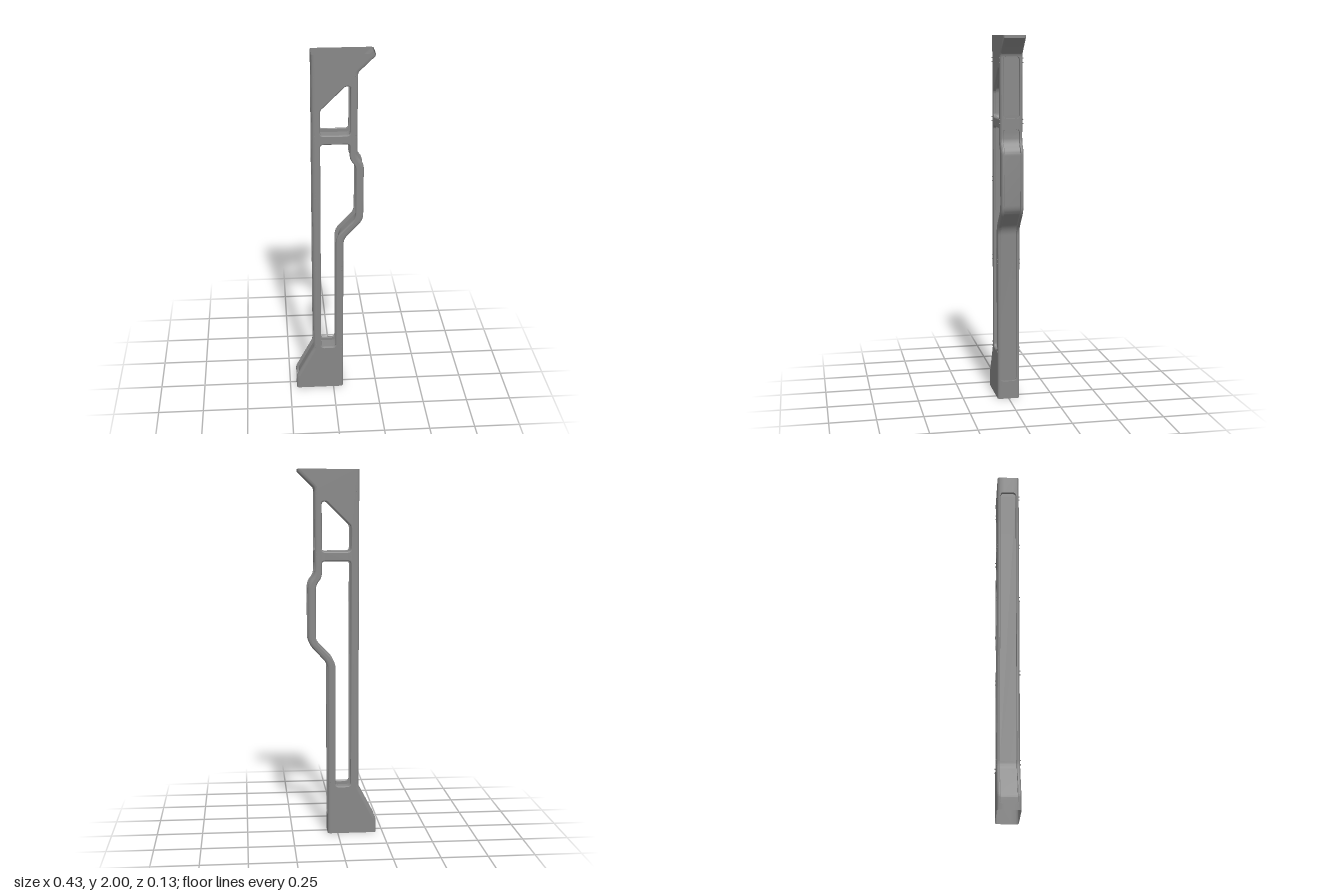
import * as THREE from 'three';
import { toCreasedNormals } from 'three/addons/utils/BufferGeometryUtils.js';

const HALF = 0.061;       // half thickness of the pillar
const FILLET = 0.01;      // depth of the rounded edges
const OUTER_EDGE = 0.017; // width of the rounding on the outer edges
const INNER_EDGE = 0.007; // width of the rounding on the openings
const SLOT = 0.043;       // half width of the recessed channels
const ROUND = 0.018;      // corner radius of the channel ends

const material = new THREE.MeshStandardMaterial({ color: 0x888888, side: THREE.DoubleSide });
const V = (x, y) => new THREE.Vector2(x, y);

// Rounds the corners of a polyline; each corner is [x, y, setback]
function roundPath(corners, closed) {
  const out = [], n = corners.length;
  corners.forEach(([x, y, r = 0], i) => {
    const p = V(x, y);
    if (!r) { out.push(p); return; }
    const [ax, ay] = corners[(i + n - 1) % n], [bx, by] = corners[(i + 1) % n];
    const a = V(ax, ay).sub(p).setLength(r).add(p);
    const b = V(bx, by).sub(p).setLength(r).add(p);
    out.push(...new THREE.QuadraticBezierCurve(a, p, b).getPoints(6));
  });
  return out;
}

// Unit-distance mitre vectors pointing to the left of the path
function mitres(pts, closed) {
  const n = pts.length;
  return pts.map((p, i) => {
    const prev = closed || i > 0 ? pts[(i + n - 1) % n] : null;
    const next = closed || i < n - 1 ? pts[(i + 1) % n] : null;
    const t1 = prev ? p.clone().sub(prev).normalize() : next.clone().sub(p).normalize();
    const t2 = next ? next.clone().sub(p).normalize() : t1;
    const m = V(-t1.y - t2.y, t1.x + t2.x);
    return m.multiplyScalar(2 / m.lengthSq());
  });
}

function inset(pts, closed, d) {
  const m = mitres(pts, closed);
  return pts.map((p, i) => p.clone().addScaledVector(m[i], -d));
}

// Wall cross-section as [z, inset]: rounded edges and a recessed middle
function section(edge, w, depth) {
  const half = [];
  for (let i = 0; i <= 4; i++) {
    const a = i / 4 * Math.PI / 2;
    half.push([HALF - FILLET * (1 - Math.cos(a)), edge * (1 - Math.sin(a))]);
  }
  const lip = Math.min(0.003, depth);
  half.push([w + lip, 0], [w, lip], [w, depth]);
  return [...half, ...half.map(([z, d]) => [-z, d]).reverse()];
}

// Skins rows of {p, m, w, depth} into one wall
function wall(name, rows, edge, closed) {
  const pos = [], index = [], k = section(edge, SLOT, 0).length;
  for (const { p, m, w, depth } of rows)
    for (const [z, d] of section(edge, w, depth)) pos.push(p.x - m.x * d, p.y - m.y * d, z);
  const n = rows.length;
  for (let i = 0; i < (closed ? n : n - 1); i++)
    for (let j = 0; j < k - 1; j++) {
      const a = i * k + j, b = ((i + 1) % n) * k + j;
      index.push(a, b, a + 1, b, b + 1, a + 1);
    }
  const g = new THREE.BufferGeometry();
  g.setAttribute('position', new THREE.Float32BufferAttribute(pos, 3));
  g.setIndex(index);
  const mesh = new THREE.Mesh(toCreasedNormals(g, 0.6), material);
  mesh.name = name;
  return mesh;
}

// Outer wall with channels, each given as [bottom, top]
function sideWall(name, path, channels, depth) {
  const steps = [0, 0.002, 0.006, 0.011, ROUND];
  const cuts = channels.flatMap(([a, b]) => steps.flatMap(s => [a + s, b - s]));
  const pts = [];
  path.forEach((p, i) => {
    pts.push(p);
    const q = path[i + 1];
    if (!q) return;
    const dy = q.y - p.y;
    cuts.map(y => (y - p.y) / dy).filter(t => t > 1e-5 && t < 1 - 1e-5)
      .sort((a, b) => a - b).forEach(t => pts.push(p.clone().lerp(q, t)));
  });
  const m = mitres(pts, false), rows = [], down = path[0].y > path[1].y;
  pts.forEach((p, i) => {
    const c = channels.find(([a, b]) => p.y > a - 1e-6 && p.y < b + 1e-6);
    if (!c) { rows.push({ p, m: m[i], w: SLOT - ROUND, depth: 0 }); return; }
    const e = Math.max(0, Math.min(p.y - c[0], c[1] - p.y));
    const w = SLOT - ROUND + Math.sqrt(ROUND ** 2 - Math.max(0, ROUND - e) ** 2);
    const row = { p, m: m[i], w, depth };
    const flat = { ...row, depth: 0 };
    if (e > 1e-6) rows.push(row);
    else rows.push(...((p.y - c[0] < 1e-5) !== down ? [flat, row] : [row, flat]));
  });
  return wall(name, rows, OUTER_EDGE, false);
}

export function createModel() {
  const group = new THREE.Group();

  // Contours: left edge runs up, right edge runs down, openings run anticlockwise
  const lowXEdge = roundPath([[-0.213, 0], [-0.213, 0.08, 0.012], [-0.115, 0.265, 0.02], [-0.115, 2]]);
  const highXEdge = roundPath([[0.213, 2], [0.213, 1.985], [0.125, 1.9, 0.012], [0.125, 1.445, 0.025],
    [0.161, 1.395, 0.025], [0.161, 1.07, 0.035], [0.055, 0.955, 0.03], [0.055, 0]]);
  const openings = {
    upperOpening: roundPath([[-0.07, 1.565, 0.018], [0.085, 1.565, 0.018], [0.085, 1.828, 0.012],
      [0.06, 1.828, 0.009], [-0.07, 1.7, 0.012]]),
    lowerOpening: roundPath([[-0.07, 0.27, 0.02], [0.012, 0.27, 0.02], [0.012, 0.97, 0.04],
      [0.118, 1.08, 0.03], [0.118, 1.385, 0.025], [0.085, 1.425, 0.025], [0.085, 1.512, 0.018],
      [-0.07, 1.512, 0.018]]),
  };

  // Front and back plates
  const shape = new THREE.Shape([...inset(lowXEdge, false, OUTER_EDGE), ...inset(highXEdge, false, OUTER_EDGE)]);
  for (const o of Object.values(openings)) shape.holes.push(new THREE.Path(inset(o, true, INNER_EDGE)));
  for (const side of [1, -1]) {
    const g = new THREE.ShapeGeometry(shape);
    if (side < 0) {
      g.setIndex([...g.index.array].reverse());
      g.computeVertexNormals();
    }
    const plate = new THREE.Mesh(g, material);
    plate.position.z = side * HALF;
    plate.name = side > 0 ? 'frontPlate' : 'backPlate';
    group.add(plate);
  }

  // Outer walls with recessed channels
  group.add(sideWall('rightWall', lowXEdge, [[0.03, 1.9]], 0.015));
  group.add(sideWall('leftWall', highXEdge, [[0.1, 1.51], [1.565, 1.89]], 0.013));

  // Inner walls around the openings, recessed all round
  for (const [name, o] of Object.entries(openings)) {
    const m = mitres(o, true);
    const unique = o.map((p, i) => ({ p, m: m[i], w: SLOT + 0.003, depth: 0.02 }));
    group.add(wall(name + 'Wall', unique, INNER_EDGE, true));
  }

  // Small paired studs on both plates
  const studs = [[-0.1, 0.28], [-0.1, 0.78], [-0.1, 1.22], [-0.1, 1.55], [-0.1, 1.87],
    [0.045, 0.28], [0.045, 0.78], [0.115, 1.55], [0.115, 1.87]];
  const studGeometry = new THREE.CylinderGeometry(0.003, 0.003, 0.008, 8).rotateX(Math.PI / 2);
  for (const [x, y] of studs)
    for (const dy of [-0.011, 0.011])
      for (const side of [1, -1]) {
        const stud = new THREE.Mesh(studGeometry, material);
        stud.position.set(x, y + dy, side * HALF);
        stud.name = 'stud';
        group.add(stud);
      }
  return group;
}
